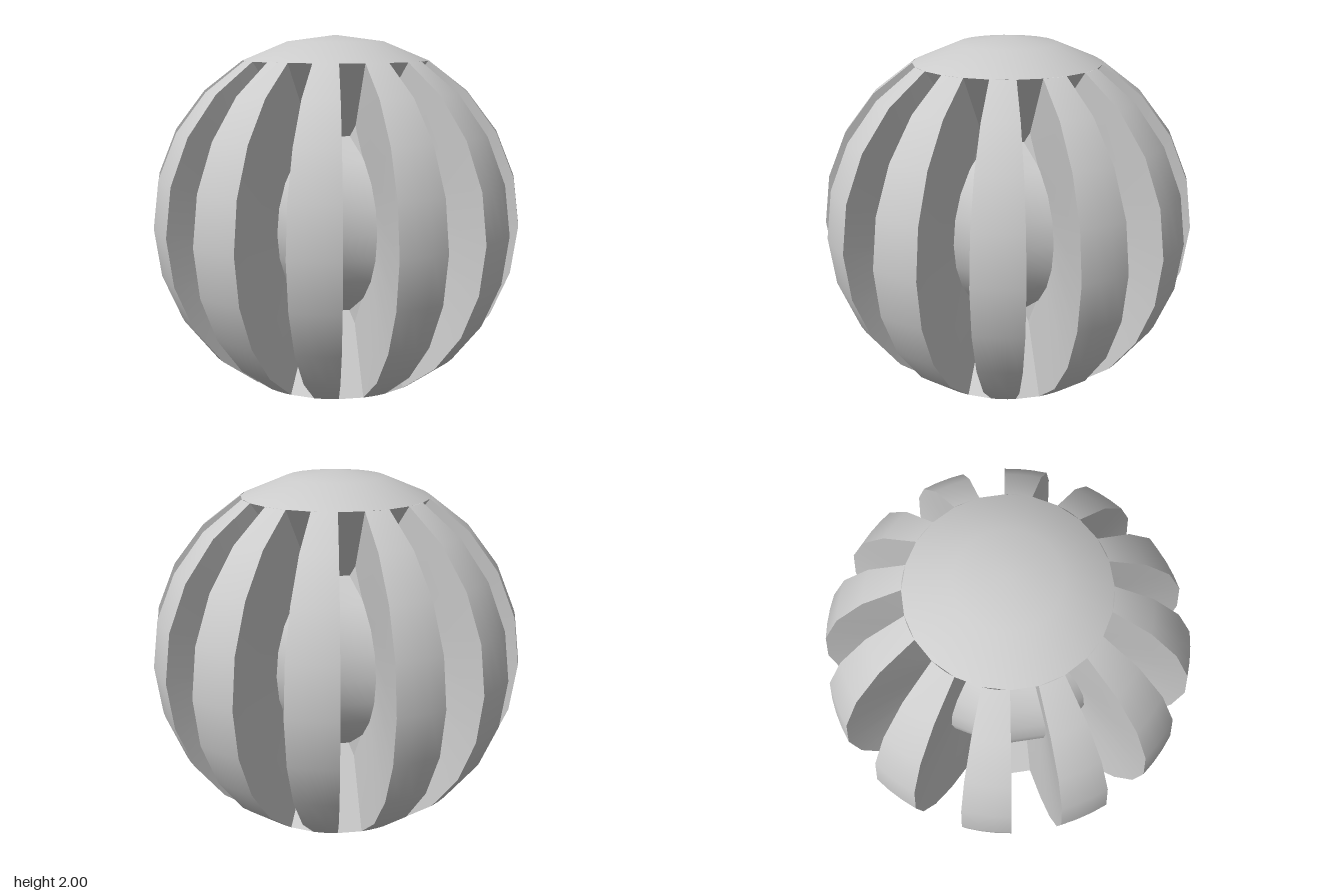
import * as THREE from 'three';

const STEP = Math.PI / 12;   // 15 degree grid, both around and pole to pole
const FIRST = 2, LAST = 10;  // rings between which the slots run
const DEPTH = 0.49;          // how far each slot is pushed inwards

// Smooth ribbon between two rows of points; a is on the left, rows run downwards
function strip(a, b) {
  const pos = [], index = [];
  a.forEach((p, i) => {
    pos.push(...p.toArray(), ...b[i].toArray());
    if (i) {
      const k = 2 * i - 2;
      index.push(k, k + 2, k + 3, k, k + 3, k + 1);
    }
  });
  const g = new THREE.BufferGeometry();
  g.setAttribute('position', new THREE.Float32BufferAttribute(pos, 3));
  g.setIndex(index);
  g.computeVertexNormals();
  return g;
}

// Point on the unit sphere, phi measured from +z towards +x
const onSphere = (theta, phi) => new THREE.Vector3().setFromSphericalCoords(1, theta, phi);

// The floor, sides and ends of one slot centred on +z
function slotGeometries() {
  const outL = [], outR = [], inL = [], inR = [];
  for (let i = FIRST; i <= LAST; i++) {
    // the end rows follow the normal of the last face
    const t = THREE.MathUtils.clamp(i, FIRST + 0.5, LAST - 0.5) * STEP;
    const push = onSphere(t, 0).multiplyScalar(-DEPTH);
    const l = onSphere(i * STEP, -STEP / 2), r = onSphere(i * STEP, STEP / 2);
    outL.push(l);
    outR.push(r);
    inL.push(l.clone().add(push));
    inR.push(r.clone().add(push));
  }
  const n = LAST - FIRST;
  return {
    slotFloor: strip(inL, inR),
    slotSideRight: strip(outL, inL),
    slotSideLeft: strip(inR, outR),
    slotTopEnd: strip([outL[0], inL[0]], [outR[0], inR[0]]),
    slotBottomEnd: strip([inL[n], outL[n]], [inR[n], outR[n]]),
  };
}

export function createModel() {
  const group = new THREE.Group();
  group.name = 'slottedBall';
  const material = new THREE.MeshStandardMaterial({ color: 0xcccccc, side: THREE.DoubleSide });
  const add = (parent, name, geometry) => {
    const mesh = new THREE.Mesh(geometry, material);
    mesh.name = name;
    parent.add(mesh);
    return mesh;
  };

  const ball = new THREE.Group();
  ball.name = 'ball';
  ball.position.y = 1;
  group.add(ball);

  // Closed caps at the poles
  const full = Math.PI * 2;
  add(ball, 'topCap', new THREE.SphereGeometry(1, 24, FIRST, 0, full, 0, FIRST * STEP));
  add(ball, 'bottomCap', new THREE.SphereGeometry(1, 24, FIRST, 0, full, LAST * STEP, FIRST * STEP));

  // Twelve ribs alternating with twelve deep slots
  const rib = new THREE.SphereGeometry(1, 1, LAST - FIRST, 11 * STEP, STEP, FIRST * STEP, (LAST - FIRST) * STEP);
  const slotParts = slotGeometries();
  for (let k = 0; k < 12; k++) {
    add(ball, 'rib', rib).rotation.y = 2 * k * STEP;
    const slot = new THREE.Group();
    slot.name = 'slot';
    slot.rotation.y = (2 * k + 0.5) * STEP;
    for (const [name, geometry] of Object.entries(slotParts)) add(slot, name, geometry);
    ball.add(slot);
  }
  return group;
}
